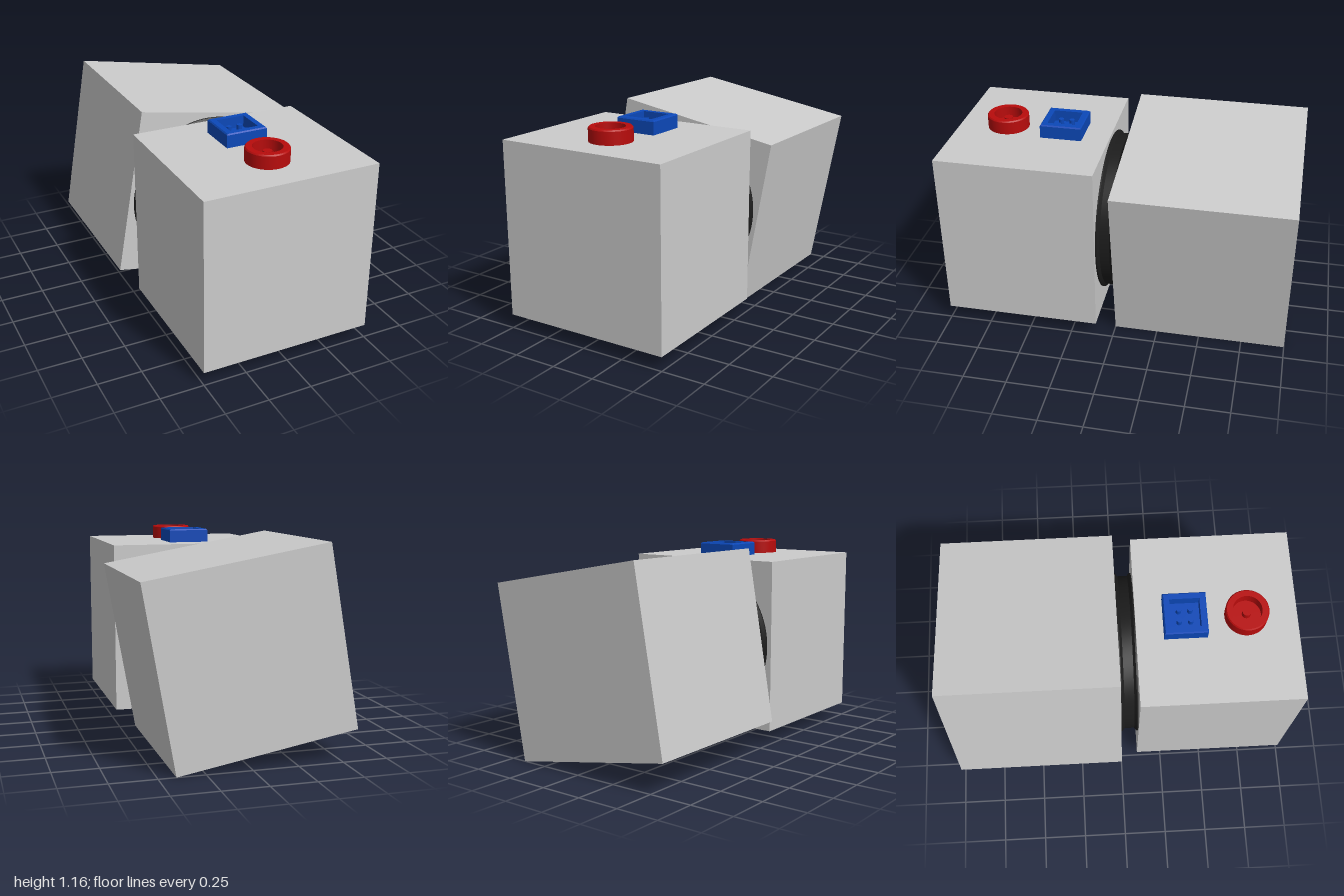
import * as THREE from 'three';
import { toCreasedNormals } from 'three/addons/utils/BufferGeometryUtils.js';

const paint = (color) => new THREE.MeshStandardMaterial({ color });
const grey = paint(0xcccccc), black = paint(0x1c1c1c), red = paint(0xb80c0c), blue = paint(0x0c48b8);

function add(parent, name, geometry, material, x = 0, y = 0, z = 0) {
  const mesh = new THREE.Mesh(geometry, material);
  mesh.name = name;
  mesh.position.set(x, y, z);
  parent.add(mesh);
  return mesh;
}

// Revolved profile of [radius, height] pairs; four sides give a square
function turned(profile, sides) {
  const k = sides === 4 ? Math.SQRT2 : 1;
  const points = profile.map(([r, y]) => new THREE.Vector2(r * k, y));
  return toCreasedNormals(new THREE.LatheGeometry(points, sides, Math.PI / 4), 0.5);
}

// Hollow socket with a lightly chamfered rim and contact pins inside
function socket(name, material, sides, inner, pinRadius, pinSpots) {
  const group = new THREE.Group();
  group.name = name;
  const profile = [[0.12, 0], [0.12, 0.073], [0.114, 0.08], [inner, 0.08], [inner, 0.015], [0, 0.015]];
  add(group, name + 'Housing', turned(profile, sides), material);
  for (const [x, z] of pinSpots) {
    add(group, name + 'Pin', new THREE.CylinderGeometry(pinRadius, pinRadius, 0.04, 20), material, x, 0.035, z);
  }
  return group;
}

export function createModel() {
  const model = new THREE.Group();
  model.name = 'rotaryJoint';
  const axisY = 0.58;

  // Fixed housing in front, turned housing behind
  add(model, 'frontHousing', new THREE.BoxGeometry(1, 1, 0.9), grey, 0, axisY, 0.55);
  const back = add(model, 'backHousing', new THREE.BoxGeometry(1, 1, 1), grey, 0, axisY, -0.5);
  back.rotation.z = -Math.PI / 18;

  // Grooved bearing between the housings
  const groove = [[0, 0], [0.475, 0], [0.475, 0.008], [0.458, 0.022], [0.458, 0.078], [0.475, 0.092], [0.475, 0.1], [0, 0.1]];
  const bearing = add(model, 'bearing', turned(groove, 96), black, 0, axisY, 0);
  bearing.rotation.x = Math.PI / 2;

  // Connectors on top of the front housing
  const power = socket('powerSocket', red, 48, 0.081, 0.025, [[0, 0]]);
  power.position.set(0, 1.08, 0.715);
  const p = 0.032;
  const data = socket('dataSocket', blue, 4, 0.083, 0.015, [[-p, -p], [p, -p], [-p, p], [p, p]]);
  data.position.set(0, 1.08, 0.373);
  model.add(power, data);
  return model;
}
